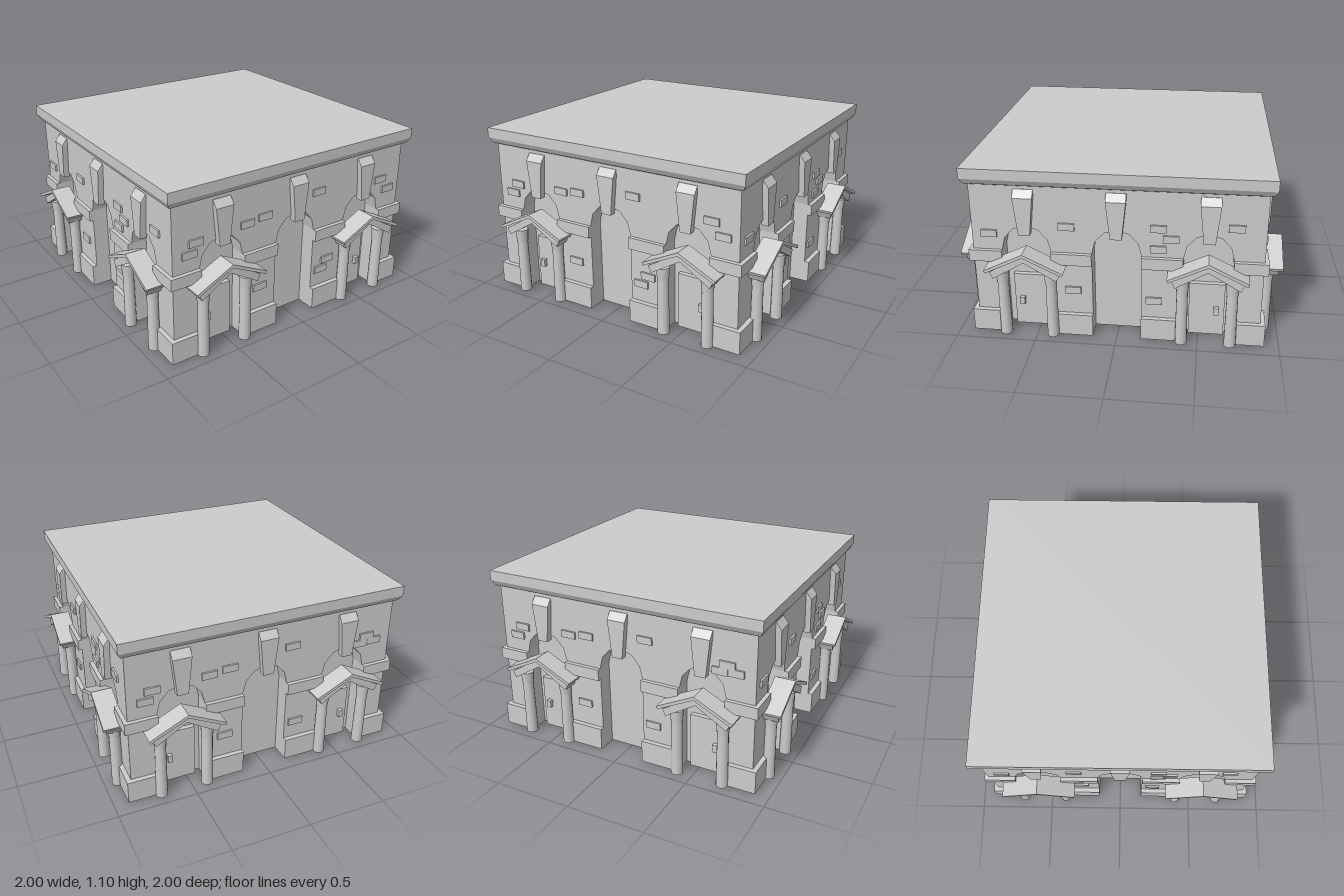
import * as THREE from 'three';

const mat = new THREE.MeshStandardMaterial({ color: 0xcccccc, side: THREE.DoubleSide, flatShading: true });
const smooth = new THREE.MeshStandardMaterial({ color: 0xcccccc });

const WALL = 0.88, RECESS = 0.78, SPRING = 0.565, EAVE = 0.99;
const ARCHES = [-0.55, 0, 0.55], HALF = 0.15;

function add(parent, name, geometry, material = mat) {
  const mesh = new THREE.Mesh(geometry, material);
  mesh.name = name;
  parent.add(mesh);
  return mesh;
}

// Surface from a list of four-cornered faces
function quads(list) {
  const pos = [];
  for (const [a, b, c, d] of list) pos.push(...a, ...b, ...c, ...a, ...c, ...d);
  const g = new THREE.BufferGeometry();
  g.setAttribute('position', new THREE.Float32BufferAttribute(pos, 3));
  g.computeVertexNormals();
  return g;
}

// Sweep a [z, y] profile along x; an end given as null is mitred at the corner
function moulding(profile, left, right) {
  const l = z => (left === null ? -z : left), r = z => (right === null ? z : right);
  return quads(profile.slice(1).map(([z1, y1], i) => {
    const [z0, y0] = profile[i];
    return [[l(z0), y0, z0], [r(z0), y0, z0], [r(z1), y1, z1], [l(z1), y1, z1]];
  }));
}

// Faceted arch head from left to right
function archHead(cx) {
  return Array.from({ length: 7 }, (_, i) => {
    const t = Math.PI * (1 - i / 6);
    return new THREE.Vector2(cx + HALF * Math.cos(t), SPRING + 0.165 * Math.sin(t));
  });
}

function extrude(points, z0, z1) {
  const g = new THREE.ExtrudeGeometry(new THREE.Shape(points.map(p => new THREE.Vector2(...p))),
    { depth: z1 - z0, bevelEnabled: false });
  return g.translate(0, 0, z0);
}

function box(w, h, d, x, y, z) {
  return new THREE.BoxGeometry(w, h, d).translate(x, y, z);
}

function buildWall(side) {
  // Lower wall with plinth and string course, between the arches
  const lower = [[0.91, 0], [0.91, 0.145], [WALL, 0.145], [WALL, 0.49],
    [0.905, 0.49], [0.905, SPRING], [WALL, SPRING]];
  const edges = [null, ...ARCHES.flatMap(c => [c - HALF, c + HALF]), null];
  for (let i = 0; i < edges.length; i += 2) add(side, 'lowerWall', moulding(lower, edges[i], edges[i + 1]));

  // Upper wall cut by the arch heads
  const outline = [new THREE.Vector2(-WALL, SPRING), ...ARCHES.flatMap(archHead),
    new THREE.Vector2(WALL, SPRING), new THREE.Vector2(WALL, EAVE), new THREE.Vector2(-WALL, EAVE)];
  add(side, 'upperWall', new THREE.ShapeGeometry(new THREE.Shape(outline)).translate(0, 0, WALL));

  // Cornice
  add(side, 'cornice', moulding([[WALL, EAVE], [0.9, 1.0], [0.92, 1.035], [0.92, 1.1]], null, null));
}

function buildArch(side, cx) {
  const path = [new THREE.Vector2(cx - HALF, 0), ...archHead(cx), new THREE.Vector2(cx + HALF, 0)];
  add(side, 'archPanel', new THREE.ShapeGeometry(new THREE.Shape(path)).translate(0, 0, RECESS));

  // Reveal, with the ends of the plinth and string course
  const faces = path.slice(1).map((q, i) => {
    const p = path[i];
    return [[p.x, p.y, WALL], [q.x, q.y, WALL], [q.x, q.y, RECESS], [p.x, p.y, RECESS]];
  });
  for (const x of [cx - HALF, cx + HALF])
    for (const [y0, y1, z] of [[0, 0.145, 0.91], [0.49, SPRING, 0.905]])
      faces.push([[x, y0, z], [x, y1, z], [x, y1, WALL], [x, y0, WALL]]);
  add(side, 'archReveal', quads(faces));

  // Keystone: narrow foot, sloped top
  const key = new THREE.BoxGeometry(1, 2, 1, 1, 2, 1), p = key.attributes.position;
  for (let i = 0; i < p.count; i++) {
    const level = Math.round(p.getY(i)) + 1, front = p.getZ(i) > 0;
    p.setXYZ(i, cx + Math.sign(p.getX(i)) * [0.035, 0.06, 0.06][level],
      [0.685, 0.925, 0.97][level], front ? [0.917, 0.917, 0.882][level] : 0.872);
  }
  key.computeVertexNormals();
  add(side, 'keystone', key);
}

function buildPorch(side, cx) {
  const porch = new THREE.Group();
  porch.name = 'porch';
  porch.position.x = cx;
  side.add(porch);

  // Gabled roof and the beam below it
  add(porch, 'porchRoof', extrude([[-0.242, 0.478], [-0.235, 0.46], [0, 0.575], [0.235, 0.46],
    [0.242, 0.478], [0, 0.597]], 0.87, 1.0));
  add(porch, 'gableBeam', extrude([[-0.215, 0.455], [-0.195, 0.412], [0, 0.53], [0.195, 0.412],
    [0.215, 0.455], [0, 0.58]], 0.87, 0.975));

  // Columns
  for (const s of [-1, 1]) {
    add(porch, 'column', new THREE.CylinderGeometry(0.034, 0.037, 0.36, 16)
      .translate(s * 0.15, 0.18, 0.914), smooth);
    add(porch, 'capital', new THREE.CylinderGeometry(0.042, 0.036, 0.08, 16)
      .translate(s * 0.15, 0.4, 0.914), smooth);
  }

  // Door with its handle on the outer side
  add(porch, 'door', box(0.22, 0.36, 0.03, 0, 0.18, RECESS + 0.015));
  add(porch, 'doorHandle', box(0.03, 0.05, 0.03, Math.sign(cx) * 0.06, 0.178, RECESS + 0.04));
}

export function createModel() {
  const model = new THREE.Group();
  model.name = 'building';

  // Raised brick centres on each side
  const frontBricks = [[-0.77, 0.675], [-0.725, 0.74], [-0.37, 0.755], [-0.24, 0.77], [0.175, 0.825],
    [0.705, 0.78], [0.78, 0.7], [-0.27, 0.3], [0.275, 0.325], [0.225, 0.265]];
  const sideBricks = [[-0.775, 0.675], [-0.3, 0.74], [0.25, 0.755], [0.325, 0.69], [0.25, 0.62],
    [0.705, 0.78], [-0.27, 0.31], [0.225, 0.265]];
  const backBricks = [...frontBricks.slice(0, 6), [0.66, 0.735], [0.76, 0.74], [-0.27, 0.3], [0.225, 0.265]];

  ['front', 'left', 'back', 'right'].forEach((name, i) => {
    const side = new THREE.Group();
    side.name = name + 'Side';
    side.rotation.y = i * Math.PI / 2;
    model.add(side);
    buildWall(side);
    ARCHES.forEach(cx => buildArch(side, cx));
    [-0.55, 0.55].forEach(cx => buildPorch(side, cx));
    for (const [x, y] of [frontBricks, sideBricks, backBricks, sideBricks][i])
      add(side, 'brick', box(0.098, 0.046, 0.02, x, y, WALL + 0.002));
  });

  // Flat roof
  add(model, 'roof', new THREE.PlaneGeometry(1.84, 1.84).rotateX(-Math.PI / 2).translate(0, 1.1, 0));
  return model;
}
